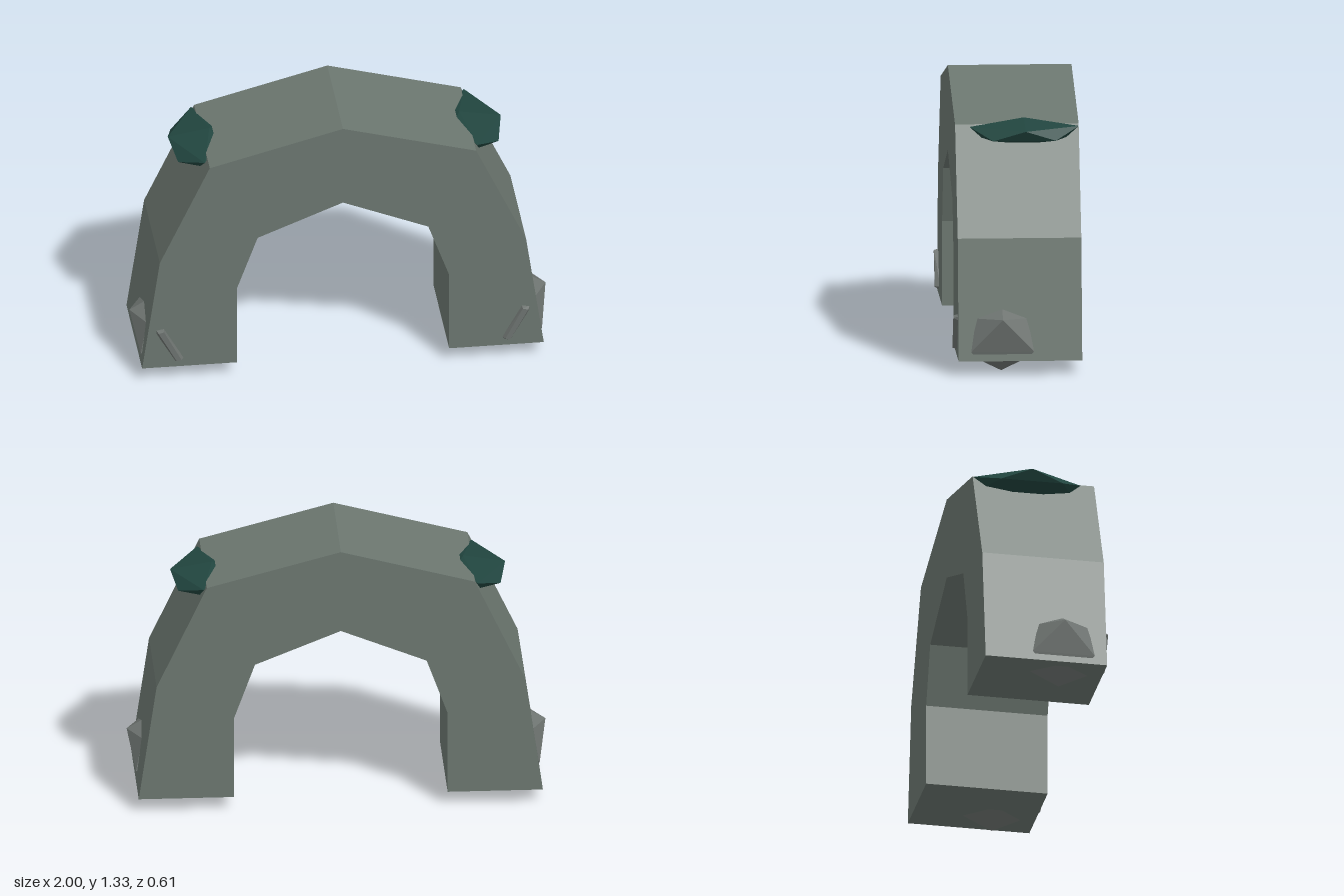
import * as THREE from 'three';
import { ConvexGeometry } from 'three/addons/geometries/ConvexGeometry.js';

const flat = (name, color) => {
  const m = new THREE.MeshStandardMaterial({ color, flatShading: true });
  m.name = name;
  return m;
};

export function createModel() {
  const group = new THREE.Group();
  group.name = 'stoneArch';
  const stone = flat('stone', 0x6b766f);
  const rubble = flat('rubble', 0x6c726f);
  const moss = flat('moss', 0x21453f);

  // Arch: half profile, from the inner foot over to the outer crown, then mirrored
  const outer = [[0.965, 0.07], [0.88, 0.65], [0.64, 1.16]];
  const inner = [[0.41, 0.755], [0.51, 0.48], [0.51, 0.07]];
  const half = [[0, 0.92], ...inner, ...outer, [0, 1.33]];
  const mirrored = half.slice(1, -1).reverse().map(([x, y]) => [-x, y]);
  const shape = new THREE.Shape([...half, ...mirrored].map(([x, y]) => new THREE.Vector2(x, y)));
  const archGeometry = new THREE.ExtrudeGeometry(shape, { depth: 0.59, bevelEnabled: false });
  archGeometry.translate(0, 0, -0.305);
  const arch = new THREE.Mesh(archGeometry, stone);
  arch.name = 'arch';
  group.add(arch);

  // Faceted lumps, given by their corners on the +x side
  const lumps = [
    ['mossClump', moss, [
      [0.60, 1.184, -0.045], [0.56, 1.16, -0.13], [0.56, 1.16, 0.05],
      [0.80, 1.15, -0.045], [0.655, 1.15, -0.305], [0.655, 1.15, 0.217],
      [0.77, 1.10, -0.19], [0.77, 1.10, 0.11], [0.67, 1.10, -0.245], [0.67, 1.10, 0.16],
      [0.68, 1.077, -0.12], [0.68, 1.077, 0.03]]],
    ['sideStone', rubble, [
      [1.0, 0.275, 0.075], [0.93, 0.315, 0.075], [0.932, 0.272, 0.2], [0.932, 0.272, -0.045],
      [0.964, 0.115, 0.225], [0.964, 0.115, -0.075], [0.961, 0.103, 0.215], [0.961, 0.103, -0.065],
      [0.85, 0.2, 0.2], [0.85, 0.2, -0.05]]],
    ['footStone', rubble, [
      [0.83, 0.002, 0.075], [0.73, 0.075, 0.11], [0.73, 0.075, 0.04], [0.92, 0.075, 0.11],
      [0.92, 0.075, 0.04], [0.83, 0.075, 0.225], [0.83, 0.075, -0.075], [0.83, 0.15, 0.075]]],
    // slanted sliver on the front face, narrower at its raised face
    ['frontStone', rubble, [
      [0.862, 0.275, 0.305], [0.888, 0.268, 0.305], [0.778, 0.115, 0.305], [0.800, 0.107, 0.305],
      [0.860, 0.283, 0.28], [0.898, 0.277, 0.28], [0.897, 0.255, 0.28],
      [0.764, 0.115, 0.28], [0.775, 0.101, 0.28], [0.808, 0.102, 0.28]]],
  ];
  for (const [name, material, corners] of lumps) {
    for (const side of [1, -1]) {
      const points = corners.map(([x, y, z]) => new THREE.Vector3(x * side, y, z));
      const mesh = new THREE.Mesh(new ConvexGeometry(points), material);
      mesh.name = (side > 0 ? 'left ' : 'right ') + name;
      group.add(mesh);
    }
  }
  return group;
}
